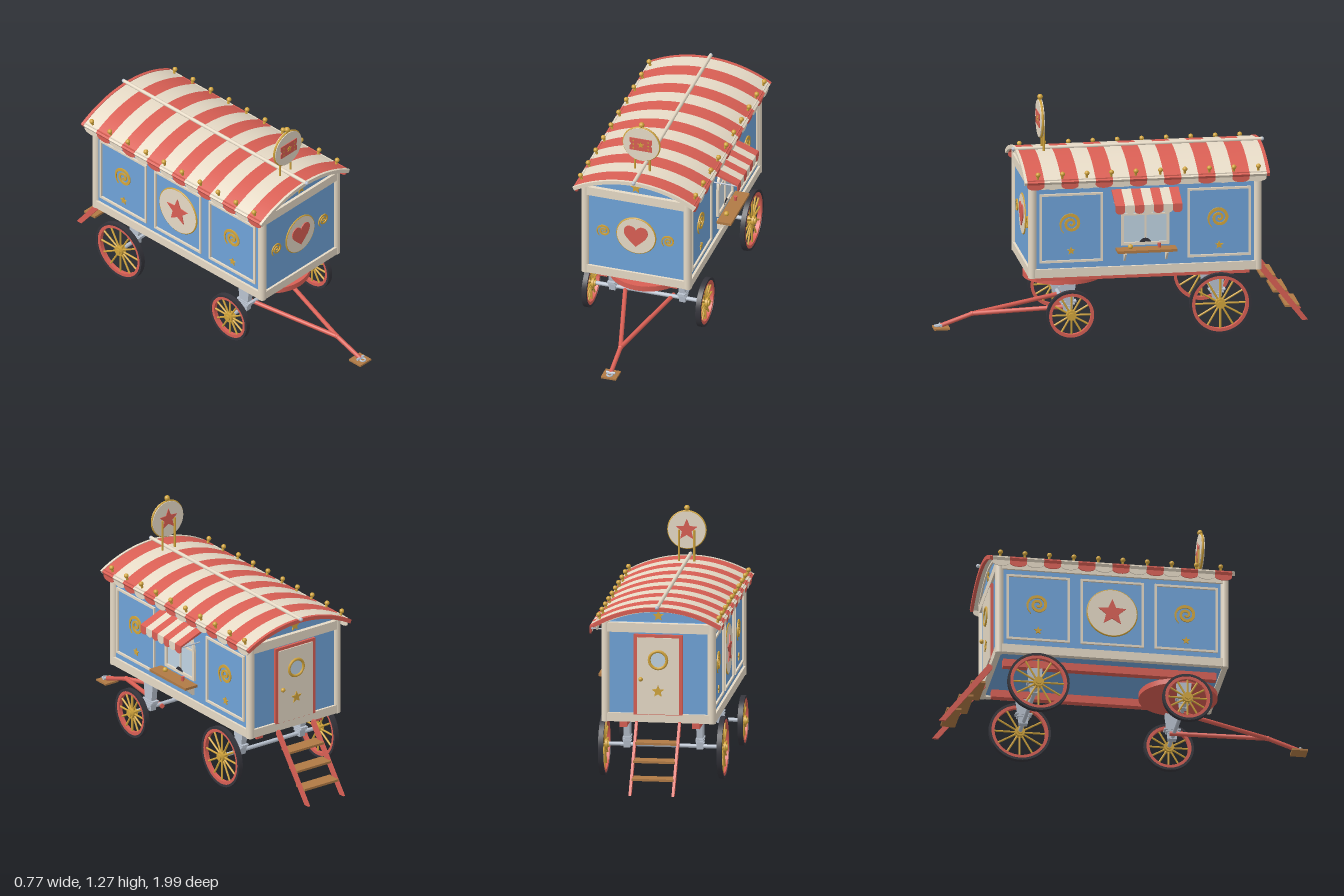
import * as THREE from 'three';
import { toCreasedNormals } from 'three/addons/utils/BufferGeometryUtils.js';

const mat = (name, color, side = THREE.FrontSide) => {
  const m = new THREE.MeshStandardMaterial({ color, side });
  m.name = name;
  return m;
};

export function createModel() {
  const cream = mat('cream', 0xe6dac6), red = mat('red', 0xd95f54), blue = mat('blue', 0x6fa3d8);
  const gold = mat('gold', 0xd2a53c), wood = mat('wood', 0xb07a45), dark = mat('dark rubber', 0x35353c);
  const steel = mat('steel', 0xb9c2cf), glass = mat('glass', 0xbfd3e2);
  const root = new THREE.Group();
  root.name = 'caravan';
  const van = new THREE.Group();
  van.name = 'wagon';
  van.position.x = -0.043;
  root.add(van);

  // Helpers
  const add = (p, name, geo, m, x = 0, y = 0, z = 0) => {
    const o = new THREE.Mesh(geo, m);
    o.name = name;
    o.position.set(x, y, z);
    p.add(o);
    return o;
  };
  const group = (p, name, x = 0, y = 0, z = 0, ry = 0) => {
    const g = new THREE.Group();
    g.name = name;
    g.position.set(x, y, z);
    g.rotation.y = ry;
    p.add(g);
    return g;
  };
  const box = (p, name, m, w, h, d, x, y, z) => add(p, name, new THREE.BoxGeometry(w, h, d), m, x, y, z);
  const ball = (p, name, m, r, x, y, z) => add(p, name, new THREE.SphereGeometry(r, 16, 12), m, x, y, z);
  const rod = (p, name, m, a, b, r, sides = 12) => {
    const A = new THREE.Vector3(...a), d = new THREE.Vector3(...b).sub(A);
    const o = add(p, name, new THREE.CylinderGeometry(r, r, d.length(), sides), m);
    o.position.copy(A).addScaledVector(d, 0.5);
    o.quaternion.setFromUnitVectors(new THREE.Vector3(0, 1, 0), d.normalize());
    return o;
  };
  const slab = (shape, depth, seg = 20) =>
    toCreasedNormals(new THREE.ExtrudeGeometry(shape, { depth, bevelEnabled: false, curveSegments: seg }), 0.5);
  const poly = (pts) => new THREE.Shape(pts.map(([x, y]) => new THREE.Vector2(x, y)));

  // Ornament outlines
  const star = (r) => poly([...Array(10).keys()].map((i) => {
    const a = Math.PI / 2 + i * Math.PI / 5, q = i % 2 ? r * 0.45 : r;
    return [q * Math.cos(a), q * Math.sin(a)];
  }));
  const swirl = (r) => {
    const out = [], inn = [];
    for (let i = 0; i <= 48; i++) {
      const t = i / 48, a = -2.2 - t * 4.2 * Math.PI, q = r * (1 - 0.85 * t);
      const w = r * 0.26 * (1 - 0.35 * t) * Math.min(1, t * 6 + 0.15);
      out.push([q * Math.cos(a), q * Math.sin(a)]);
      inn.unshift([Math.max(q - w, 0) * Math.cos(a), Math.max(q - w, 0) * Math.sin(a)]);
    }
    return poly([...out, ...inn]);
  };
  const heart = (s) => {
    const h = new THREE.Shape();
    h.moveTo(0, -s);
    h.bezierCurveTo(-0.35 * s, -0.6 * s, -1.05 * s, -0.15 * s, -1.05 * s, 0.4 * s);
    h.bezierCurveTo(-1.05 * s, 1.1 * s, -0.2 * s, 1.15 * s, 0, 0.55 * s);
    h.bezierCurveTo(0.2 * s, 1.15 * s, 1.05 * s, 1.1 * s, 1.05 * s, 0.4 * s);
    h.bezierCurveTo(1.05 * s, -0.15 * s, 0.35 * s, -0.6 * s, 0, -s);
    return h;
  };
  const scallop = (w, h, drop) => {
    const s = new THREE.Shape();
    s.moveTo(w / 2, h);
    s.lineTo(-w / 2, h);
    s.lineTo(-w / 2, 0);
    s.absellipse(0, 0, w / 2, drop, Math.PI, Math.PI * 2, false);
    return s;
  };
  const medallion = (p, r, y, t = 0.012) => {
    add(p, 'medallionDisc', new THREE.CylinderGeometry(r, r, t, 40).rotateX(Math.PI / 2), cream, 0, y, 0);
    add(p, 'medallionRim', new THREE.TorusGeometry(r, 0.006, 8, 40), gold, 0, y, 0);
  };

  // Body, beams and corner posts
  const cz = -0.097;
  box(van, 'bodyBox', blue, 0.58, 0.52, 1.22, 0, 0.61, cz);
  for (const y of [0.363, 0.85]) {
    const h = y < 0.5 ? 0.047 : 0.05;
    for (const s of [-1, 1]) {
      box(van, 'sideBeam', cream, 0.03, h, 1.2, s * 0.288, y, cz);
      box(van, 'endBeam', cream, 0.56, h, 0.03, 0, y, cz + s * 0.608);
    }
  }
  for (const sx of [-1, 1]) for (const sz of [-1, 1])
    rod(van, 'cornerPost', cream, [sx * 0.284, 0.338, cz + sz * 0.604], [sx * 0.284, 0.885, cz + sz * 0.604], 0.022, 16);

  // Arched roof with stripes, end trims and gables
  const R = 0.667, cy = 0.3, half = 0.537;
  const arch = (ro, ri, a = half) => {
    const s = new THREE.Shape();
    s.absarc(0, cy, ro, Math.PI / 2 - a, Math.PI / 2 + a, false);
    s.absarc(0, cy, ri, Math.PI / 2 + a, Math.PI / 2 - a, true);
    return s;
  };
  const z0 = -0.743, sw = 0.0917;
  for (let i = 0; i < 14; i++) {
    const m = i % 2 ? red : cream, z = z0 + i * sw;
    add(van, 'roofStripe', slab(arch(R, R - 0.016), sw, 32), m, 0, 0, z);
    for (const s of [-1, 1])
      add(van, 'valanceScallop', slab(scallop(sw, 0.035, 0.02), 0.006, 8).rotateY(Math.PI / 2), m,
        s * 0.328 - 0.003, 0.85, z + sw / 2);
  }
  add(van, 'frontRoofTrim', slab(arch(R + 0.003, R - 0.018), 0.014, 32), cream, 0, 0, 0.541);
  add(van, 'rearRoofTrim', slab(arch(R + 0.003, R - 0.018), 0.017, 32), red, 0, 0, -0.76);
  const gable = new THREE.Shape();
  gable.absarc(0, cy, R - 0.015, Math.PI / 2 - 0.462, Math.PI / 2 + 0.462, false);
  add(van, 'gableInfill', slab(gable, 1.23, 32), blue, 0, 0, cz - 0.615);
  for (const z of [0.516, -0.722])
    add(van, 'gableArch', slab(arch(R - 0.014, R - 0.028, 0.47), 0.012, 32), cream, 0, 0, z);
  rod(van, 'ridgePole', cream, [0, 0.972, -0.77], [0, 0.972, 0.563], 0.01);
  for (const z of [-0.77, 0.563]) ball(van, 'ridgeEnd', steel, 0.011, 0, 0.972, z);
  for (let i = 0; i < 10; i++) for (const s of [-1, 1]) {
    const z = -0.7 + i * 0.1313;
    rod(van, 'finialStem', gold, [s * 0.309, 0.875, z], [s * 0.32, 0.908, z], 0.007, 8);
    ball(van, 'finialBall', gold, 0.013, s * 0.321, 0.912, z);
  }

  // Round roof sign
  const sign = group(van, 'roofSign', 0, 1.135, 0.421);
  medallion(sign, 0.1, 0, 0.02);
  for (const s of [-1, 1]) rod(sign, 'signPost', gold, [s * 0.041, -0.19, -0.014], [s * 0.041, 0, -0.014], 0.006, 8);
  ball(sign, 'signFinial', gold, 0.015, 0, 0.118, 0);
  const ticket = poly([[-0.062, -0.037], [0.062, -0.037], [0.062, -0.012], [0.054, 0], [0.062, 0.012],
    [0.062, 0.037], [-0.062, 0.037], [-0.062, 0.012], [-0.054, 0], [-0.062, -0.012]]);
  add(sign, 'ticketPlate', slab(ticket, 0.004), red, 0, 0, 0.01);
  add(sign, 'ticketStar', slab(star(0.019), 0.003), gold, 0, 0, 0.014);
  for (const x of [-0.041, 0.041]) for (const y of [-0.022, 0, 0.022])
    add(sign, 'ticketDot', new THREE.CircleGeometry(0.005, 10), gold, x, y, 0.0155);
  add(sign, 'signBackStar', slab(star(0.06), 0.004), red, 0, 0, -0.014);

  // Front wall
  const front = group(van, 'frontWall', 0, 0, cz + 0.61);
  medallion(front, 0.106, 0.615);
  add(front, 'heart', slab(heart(0.063), 0.005), red, 0, 0.613, 0.006);
  for (const s of [-1, 1]) add(front, 'swirl', slab(swirl(0.042), 0.006), gold, s * 0.18, 0.612, 0);
  add(front, 'gableStar', slab(star(0.03), 0.006), gold, 0, 0.917, 0.005);

  // Side walls with framed panels
  const panel = (p, x, ornate) => {
    for (const s of [-1, 1]) {
      box(p, 'panelFrameUpright', cream, 0.012, 0.377, 0.012, x + s * 0.163, 0.608, 0.004);
      box(p, 'panelFrameRail', cream, 0.338, 0.012, 0.012, x, 0.608 + s * 0.183, 0.004);
    }
    if (!ornate) return;
    add(p, 'swirl', slab(swirl(0.066), 0.006), gold, x, 0.63, 0);
    add(p, 'panelStar', slab(star(0.023), 0.006), gold, x, 0.48, 0);
  };
  const shopSide = group(van, 'shopSideWall', 0.29, 0, cz, Math.PI / 2);
  const plainSide = group(van, 'plainSideWall', -0.29, 0, cz, -Math.PI / 2);
  for (const wall of [shopSide, plainSide]) for (const s of [-1, 1]) panel(wall, s * 0.397, true);
  panel(plainSide, 0, false);
  medallion(plainSide, 0.132, 0.612);
  add(plainSide, 'medallionStar', slab(star(0.078), 0.005), red, 0, 0.612, 0.006);

  // Arched shop window
  const archWin = (w, y0, y1, P = THREE.Shape) => {
    const s = new P();
    s.moveTo(-w, y0);
    s.lineTo(w, y0);
    s.lineTo(w, y1);
    s.absarc(0, y1, w, 0, Math.PI, false);
    s.lineTo(-w, y0);
    return s;
  };
  add(shopSide, 'windowGlass', slab(archWin(0.12, 0.51, 0.66), 0.004), glass);
  const frame = archWin(0.13, 0.5, 0.66);
  frame.holes.push(archWin(0.114, 0.516, 0.66, THREE.Path));
  add(shopSide, 'windowFrame', slab(frame, 0.014), cream);
  box(shopSide, 'windowMullion', cream, 0.01, 0.265, 0.012, 0, 0.645, 0.004);
  box(shopSide, 'windowCrossbar', cream, 0.235, 0.01, 0.012, 0, 0.668, 0.004);
  add(shopSide, 'windowSilhouette', new THREE.CircleGeometry(0.033, 20, 0, Math.PI), dark, 0, 0.505, 0.012);

  // Counter
  box(shopSide, 'counter', wood, 0.32, 0.014, 0.08, 0, 0.484, 0.052);
  for (const x of [-0.112, 0.112]) {
    const b = poly([[0, 0.478], [0, 0.415], [0.012, 0.415], [0.062, 0.462], [0.062, 0.478]]);
    add(shopSide, 'counterBracket', slab(b, 0.01).rotateY(-Math.PI / 2), cream, x + 0.005, 0, 0);
  }
  add(shopSide, 'cup', new THREE.CylinderGeometry(0.01, 0.008, 0.025, 12), red, 0.07, 0.503, 0.043);
  ball(shopSide, 'counterBell', gold, 0.014, -0.085, 0.5, 0.043);

  // Striped awning
  const aw = 0.0512;
  const canopy = poly([[0, 0.808], [0.137, 0.753], [0.137, 0.742], [0, 0.795]]);
  for (let i = 0; i < 7; i++) {
    const m = i % 2 ? cream : red, x = (i - 3) * aw;
    add(shopSide, 'awningStripe', slab(canopy, aw).rotateY(-Math.PI / 2), m, x + aw / 2, 0, 0);
    add(shopSide, 'awningScallop', slab(scallop(aw, 0.028, 0.018), 0.006, 8), m, x, 0.724, 0.131);
  }
  for (const s of [-1, 1]) rod(shopSide, 'awningArm', steel, [s * 0.165, 0.737, 0], [s * 0.165, 0.737, 0.132], 0.004, 8);

  // Rear door
  const rear = group(van, 'rearWall', 0, 0, cz - 0.61, Math.PI);
  box(rear, 'doorFrame', red, 0.262, 0.435, 0.016, 0, 0.598, 0.006);
  box(rear, 'door', cream, 0.225, 0.415, 0.012, 0, 0.592, 0.014);
  add(rear, 'doorWindow', new THREE.CircleGeometry(0.046, 28), glass, 0, 0.68, 0.0215);
  add(rear, 'doorWindowRing', new THREE.TorusGeometry(0.047, 0.008, 8, 32), gold, 0, 0.68, 0.021);
  add(rear, 'doorStar', slab(star(0.034), 0.005), gold, 0, 0.51, 0.02);
  ball(rear, 'doorKnob', gold, 0.012, -0.092, 0.575, 0.028);
  add(rear, 'gableStar', slab(star(0.03), 0.006), gold, 0, 0.917, 0.005);

  // Chassis
  for (const s of [-1, 1]) box(van, 'chassisRail', red, 0.04, 0.042, 1.143, s * 0.195, 0.319, cz);
  add(van, 'turntable', new THREE.CylinderGeometry(0.21, 0.21, 0.03, 40), red, 0, 0.285, 0.303);

  // Axles, hangers and wheels
  const wheel = (r, x, y, z) => {
    const w = group(van, 'wheel', x, y, z, Math.PI / 2);
    const ring = (name, ro, ri, d, m) => {
      const s = new THREE.Shape().absarc(0, 0, ro, 0, Math.PI * 2, false);
      s.holes.push(new THREE.Path().absarc(0, 0, ri, 0, Math.PI * 2, true));
      add(w, name, slab(s, d, 40), m, 0, 0, -d / 2);
    };
    ring('tyre', r, r - 0.013, 0.027, dark);
    ring('rim', r - 0.012, r - 0.03, 0.022, red);
    for (let i = 0; i < 12; i++) {
      const a = i * Math.PI / 6, c = Math.cos(a), s = Math.sin(a), e = r - 0.025;
      rod(w, 'spoke', gold, [c * 0.02, s * 0.02, 0], [c * e, s * e, 0], 0.0055, 8);
    }
    add(w, 'hub', new THREE.CylinderGeometry(0.027, 0.027, 0.034, 20).rotateX(Math.PI / 2), gold);
    add(w, 'hubCap', new THREE.CylinderGeometry(0.017, 0.017, 0.05, 16).rotateX(Math.PI / 2), gold);
  };
  for (const [r, z, top] of [[0.134, 0.303, 0.272], [0.166, -0.496, 0.3]]) {
    rod(van, 'axle', steel, [-0.32, r + 0.002, z], [0.32, r + 0.002, z], 0.011);
    for (const s of [-1, 1]) {
      wheel(r, s * 0.317, r, z);
      const h = poly([[-0.022, r - 0.012], [0.022, r - 0.012], [0.04, top], [-0.04, top]]);
      add(van, 'axleHanger', slab(h, 0.034).rotateY(Math.PI / 2), steel, s * 0.195 - 0.017, 0, z);
      for (const k of [0, 1, 2]) box(van, 'springLeaf', steel, 0.042, 0.008, 0.09 - k * 0.02, s * 0.195, r + 0.045 - k * 0.013, z);
    }
  }

  // Drawbar
  for (const s of [-1, 1]) rod(van, 'drawbarArm', red, [s * 0.135, 0.132, 0.28], [0, 0.077, 0.785], 0.012);
  ball(van, 'drawbarJoint', red, 0.014, 0, 0.077, 0.785);
  rod(van, 'drawbarTongue', red, [0, 0.077, 0.785], [0, 0.018, 0.955], 0.012);
  box(van, 'drawbarFoot', wood, 0.084, 0.01, 0.085, 0, 0.007, 0.952);
  rod(van, 'drawbarHandle', steel, [-0.025, 0.022, 0.955], [0.025, 0.022, 0.955], 0.007, 8);
  add(van, 'hitchRing', new THREE.TorusGeometry(0.014, 0.005, 8, 16).rotateX(Math.PI / 2), steel, 0, 0.018, 0.972);

  // Rear steps
  const stringer = poly([[0.712, 0.345], [0.735, 0.345], [0.998, 0.0], [0.965, 0.0], [0.712, 0.32]]);
  for (const s of [-1, 1])
    add(van, 'stairStringer', slab(stringer, 0.014).rotateY(Math.PI / 2), red, s * 0.115 - 0.007, 0, 0);
  [[0.245, -0.785], [0.16, -0.85], [0.077, -0.915]].forEach(([y, z]) =>
    box(van, 'stairTread', wood, 0.222, 0.012, 0.078, 0, y, z));

  return root;
}
